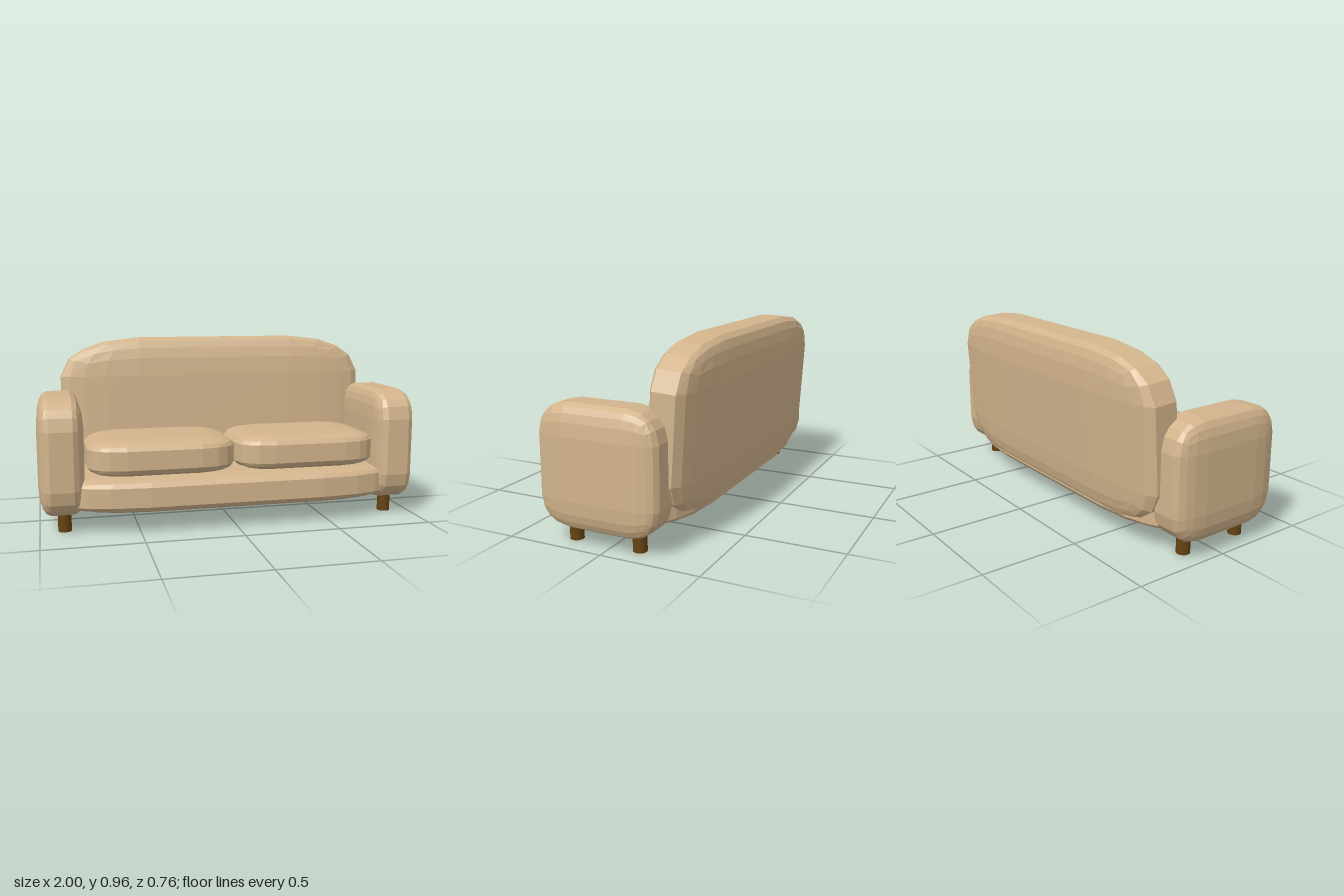
import * as THREE from 'three';
import { RoundedBoxGeometry } from 'three/addons/geometries/RoundedBoxGeometry.js';

const fabric = new THREE.MeshStandardMaterial({ color: 0xd2b48c, flatShading: true });
const wood = new THREE.MeshStandardMaterial({ color: 0x654312 });

// Padded block: a rounded unit cube stretched to size, so the rounding
// stretches with each axis and leaves the middle half of every face flat.
function pad(name, size, position) {
  const geometry = new RoundedBoxGeometry(1, 1, 1, 2, 0.25);
  geometry.scale(...size);
  geometry.computeVertexNormals();
  const mesh = new THREE.Mesh(geometry, fabric);
  mesh.name = name;
  mesh.position.set(...position);
  return mesh;
}

export function createModel() {
  const sofa = new THREE.Group();
  sofa.name = 'sofa';

  // Seat base, running into the arms and under the backrest
  sofa.add(pad('seatBase', [1.8, 0.2, 0.7], [0, 0.19, 0.03]));

  // Backrest, leaning slightly backwards
  const backrest = pad('backrest', [1.72, 0.846, 0.245], [0, 0.53, -0.243]);
  backrest.rotation.x = -0.06;
  sofa.add(backrest);

  const legGeometry = new THREE.CylinderGeometry(0.034, 0.034, 0.14, 24);
  for (const [side, s] of [['left', 1], ['right', -1]]) {
    // Seat cushion and armrest
    sofa.add(pad(side + 'Cushion', [0.755, 0.19, 0.505], [s * 0.381, 0.38, 0.132]));
    sofa.add(pad(side + 'Arm', [0.232, 0.6, 0.627], [s * 0.884, 0.38, 0.035]));

    // Front and back legs under each arm
    for (const [end, z] of [['Front', 0.207], ['Back', -0.138]]) {
      const leg = new THREE.Mesh(legGeometry, wood);
      leg.name = side + end + 'Leg';
      leg.position.set(s * 0.875, 0.07, z);
      sofa.add(leg);
    }
  }
  return sofa;
}
